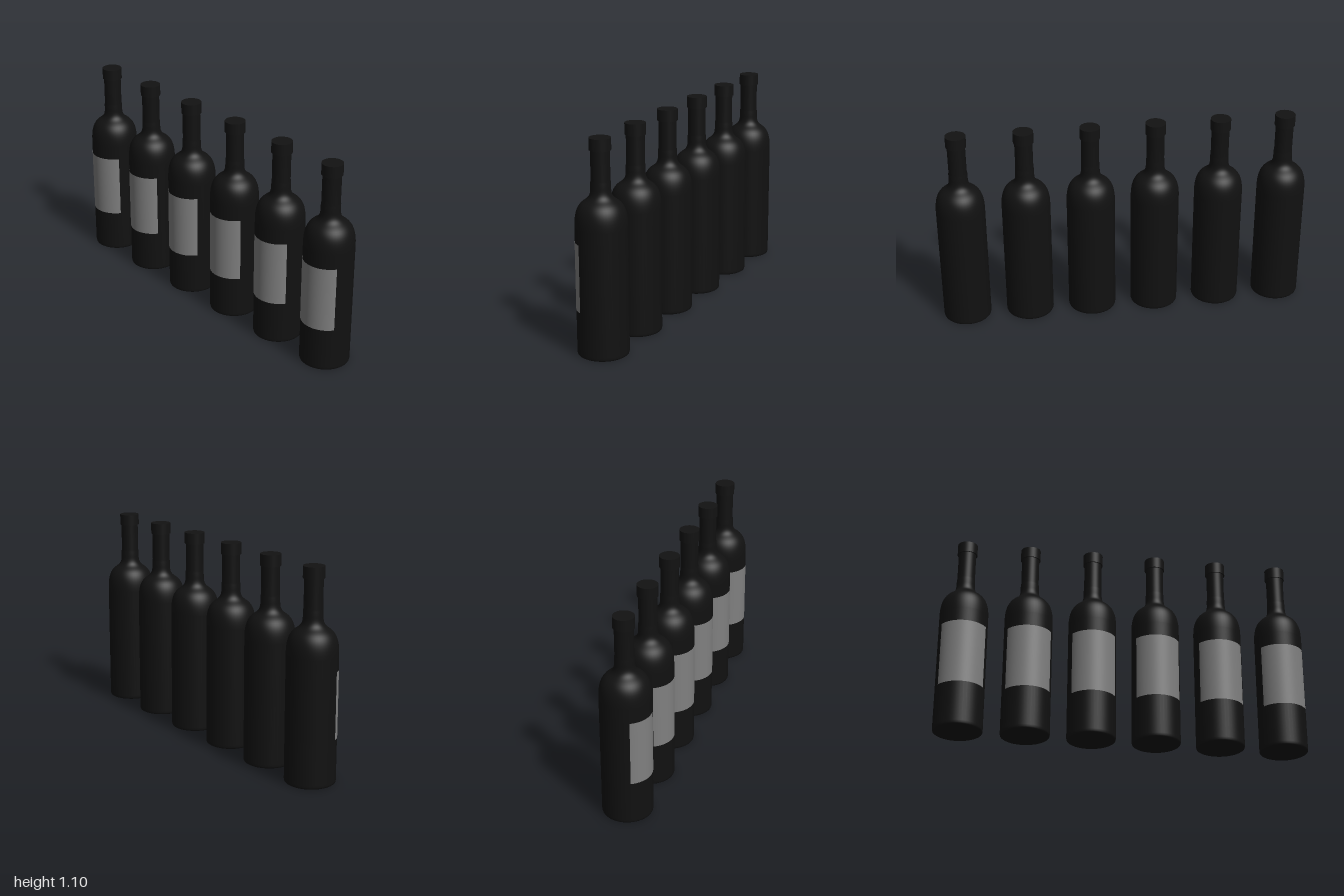
import * as THREE from 'three';

const glass = new THREE.MeshStandardMaterial({ color: 0x111111 });
const foil = new THREE.MeshStandardMaterial({ color: 0x121212 });
const paper = new THREE.MeshStandardMaterial({ color: 0x808080, side: THREE.DoubleSide });

const SEGMENTS = 48;
const points = (list) => list.map(([r, y]) => new THREE.Vector2(r, y));

// Smooth shoulder: straight wall, rounded shoulder, then a flare into the neck
function shoulderProfile() {
  const path = new THREE.CurvePath();
  const v = (x, y) => new THREE.Vector2(x, y);
  path.add(new THREE.CubicBezierCurve(v(0.13, 0.66), v(0.13, 0.73), v(0.115, 0.765), v(0.082, 0.787)));
  path.add(new THREE.CubicBezierCurve(v(0.082, 0.787), v(0.06, 0.802), v(0.05, 0.815), v(0.05, 0.85)));
  return path.curves.flatMap((curve, i) => curve.getPoints(10).slice(i));
}

// Shallow hollow under the base
const baseGeometry = new THREE.LatheGeometry(points([
  [0, 0.02], [0.05, 0.017], [0.09, 0.007], [0.115, 0],
]), SEGMENTS);

// Rounded foot, wall, shoulder and neck
const bodyGeometry = new THREE.LatheGeometry([
  ...points([[0.115, 0], [0.123, 0], [0.128, 0.003], [0.13, 0.01], [0.13, 0.02]]),
  ...shoulderProfile(),
  ...points([[0.0495, 0.88], [0.0475, 0.89], [0.0475, 1.045]]),
], SEGMENTS);

const capGeometry = new THREE.CylinderGeometry(0.054, 0.054, 0.06, SEGMENTS);

// Label wraps the front of the wall
const labelAngle = 1.09;
const labelGeometry = new THREE.CylinderGeometry(
  0.131, 0.131, 0.348, 32, 1, true, -labelAngle, labelAngle * 2);

function addPart(parent, name, geometry, material, y = 0) {
  const mesh = new THREE.Mesh(geometry, material);
  mesh.name = name;
  mesh.position.y = y;
  parent.add(mesh);
}

function createBottle() {
  const bottle = new THREE.Group();
  addPart(bottle, 'base', baseGeometry, glass);
  addPart(bottle, 'body', bodyGeometry, glass);
  addPart(bottle, 'cap', capGeometry, foil, 1.068);
  addPart(bottle, 'label', labelGeometry, paper, 0.409);
  return bottle;
}

export function createModel() {
  const model = new THREE.Group();
  model.name = 'bottleRow';
  // Six evenly spaced bottles
  for (let i = 0; i < 6; i++) {
    const bottle = createBottle();
    bottle.name = `bottle${i + 1}`;
    bottle.position.x = (i - 2.5) * 0.348;
    model.add(bottle);
  }
  return model;
}
